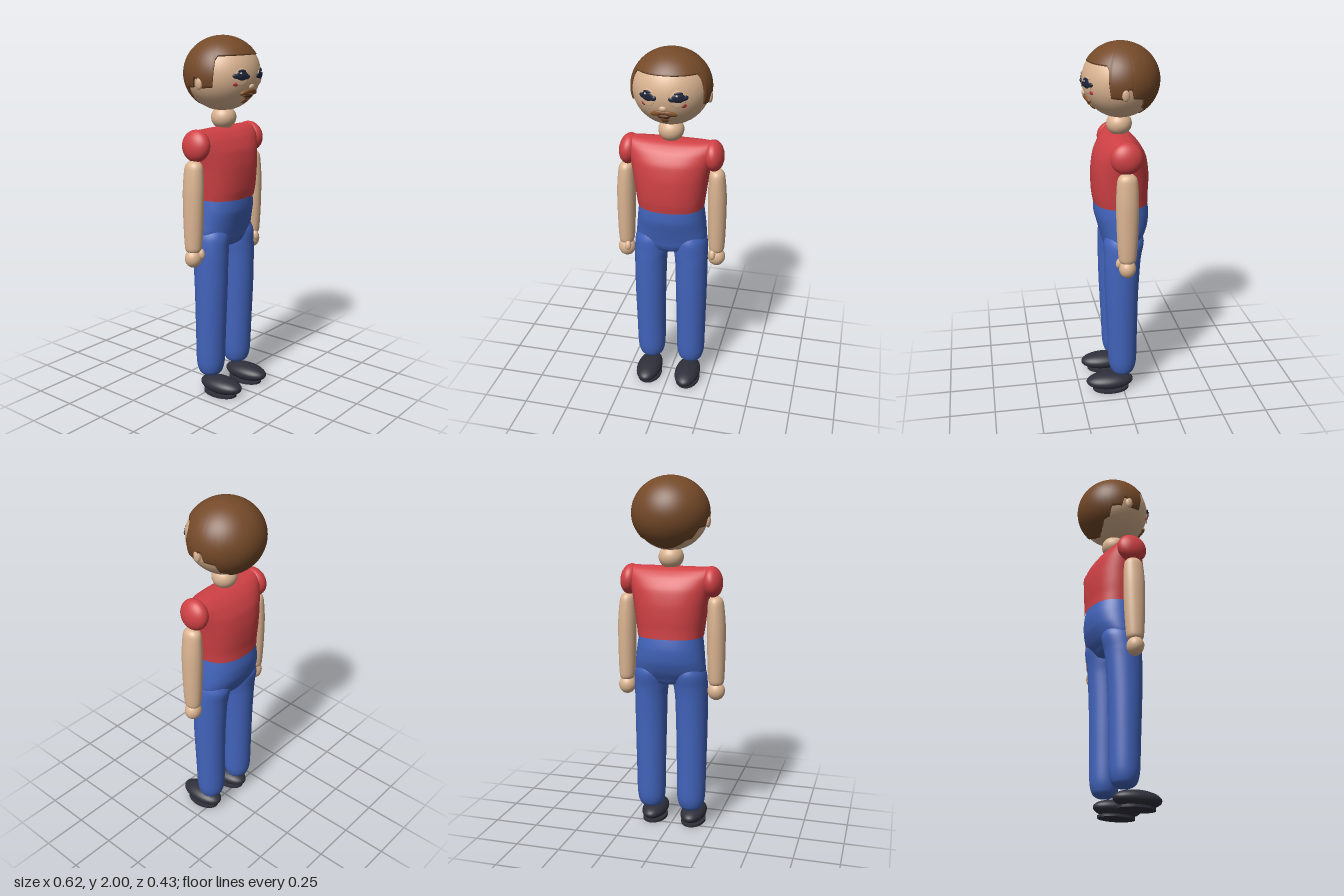
import * as THREE from 'three';
import { mergeVertices } from 'three/addons/utils/BufferGeometryUtils.js';

const mat = (name, color) => {
  const m = new THREE.MeshStandardMaterial({ color });
  m.name = name;
  return m;
};

// Closed tube-like surface: fn(u, v) gives a point, u = top to bottom, v = around
function surface(rows, cols, fn) {
  const pos = [], index = [];
  for (let i = 0; i <= rows; i++)
    for (let j = 0; j < cols; j++) pos.push(...fn(i / rows, j / cols, i));
  for (let i = 0; i < rows; i++)
    for (let j = 0; j < cols; j++) {
      const k = (j + 1) % cols;
      const a = i * cols + j, b = (i + 1) * cols + j, c = (i + 1) * cols + k, d = i * cols + k;
      index.push(a, b, c, a, c, d);
    }
  const g = new THREE.BufferGeometry();
  g.setAttribute('position', new THREE.Float32BufferAttribute(pos, 3));
  g.setIndex(index);
  const merged = mergeVertices(g, 1e-6);
  merged.computeVertexNormals();
  return merged;
}

// Loft through sections [y, halfWidth, halfDepth, zCentre, xCentre], from top to bottom
function loft(sections, power = 1) {
  const size = new THREE.CatmullRomCurve3(sections.map(s => new THREE.Vector3(s[0], s[1], s[2])), false, 'catmullrom', 0.4);
  const centre = new THREE.CatmullRomCurve3(sections.map(s => new THREE.Vector3(s[3] || 0, s[4] || 0, 0)), false, 'catmullrom', 0.4);
  const bend = t => Math.sign(t) * Math.pow(Math.abs(t), power);
  return surface(sections.length * 5, 56, (u, v) => {
    const s = size.getPoint(u), c = centre.getPoint(u), t = v * Math.PI * 2;
    return [c.y + Math.max(0, s.y) * bend(Math.sin(t)), s.x, c.x + Math.max(0, s.z) * bend(Math.cos(t))];
  });
}

export function createModel() {
  const skin = mat('skin', 0xdcb592);
  const hairMat = mat('brown hair', 0x754a29);
  const beardMat = mat('light brown beard', 0x88552c);
  const red = mat('red shirt', 0xd04145);
  const blue = mat('blue trousers', 0x4264bc);
  const dark = mat('dark shoe', 0x30303c);
  const eyeMat = mat('dark eye', 0x20263a);
  const white = mat('eye highlight', 0xd8d8d8);
  const blush = mat('cheek red', 0xc8383c);
  const mouthMat = mat('mouth brown', 0x54301a);

  const root = new THREE.Group();
  root.name = 'figure';
  const add = (name, geo, material, parent = root) => {
    const m = new THREE.Mesh(geo, material);
    m.name = name;
    parent.add(m);
    return m;
  };
  const ball = (name, material, p, r, parent = root, w = 36, h = 24) => {
    const m = add(name, new THREE.SphereGeometry(1, w, h), material, parent);
    m.position.set(...p);
    m.scale.set(...r);
    return m;
  };

  // Head and neck
  const HC = [0, 1.8, -0.006], HR = [0.204, 0.198, 0.203];
  ball('head', skin, HC, HR, root, 56, 40);
  ball('neck', skin, [0, 1.565, 0], [0.069, 0.064, 0.069]);

  // Hair cap whose lower edge follows a hairline of [degrees from front, height]
  const line = [[0, 1.903], [58, 1.9], [63, 1.875], [65, 1.74], [88, 1.732], [91, 1.785], [97, 1.785],
    [100, 1.735], [117, 1.73], [122, 1.675], [135, 1.665], [140, 1.645], [155, 1.625], [180, 1.615]];
  const hairline = deg => {
    let i = 1;
    while (i < line.length - 1 && line[i][0] < deg) i++;
    const [d0, y0] = line[i - 1], [d1, y1] = line[i];
    return y0 + (y1 - y0) * (deg - d0) / (d1 - d0);
  };
  const ROWS = 30;
  add('hair', surface(ROWS, 180, (u, v, i) => {
    const phi = v * Math.PI * 2, deg = Math.min(v, 1 - v) * 360;
    const end = Math.acos((hairline(deg) - 1.8) / 0.2);
    const t = end * Math.min(1, i / (ROWS - 1)), k = i === ROWS ? 0.93 : 1;
    return [k * 0.214 * Math.sin(t) * Math.sin(phi), 1.8 + k * 0.2 * Math.cos(t), -0.008 + k * 0.209 * Math.sin(t) * Math.cos(phi)];
  }), hairMat);

  // Small flattened ellipsoid resting on the face at (x, y)
  const face = new THREE.Group();
  face.name = 'face';
  root.add(face);
  const onFace = (name, material, x, y, rx, ry, depth, tilt = 0, lift = 0) => {
    const q = Math.sqrt(1 - (x / HR[0]) ** 2 - ((y - HC[1]) / HR[1]) ** 2);
    const p = new THREE.Vector3(x, y, HC[2] + HR[2] * q);
    const n = new THREE.Vector3(x / HR[0] ** 2, (y - HC[1]) / HR[1] ** 2, q / HR[2]).normalize();
    const m = ball(name, material, [0, 0, 0], [rx, ry, depth], face, 24, 14);
    m.position.copy(p).addScaledVector(n, lift);
    m.lookAt(m.position.clone().add(n));
    m.rotateZ(tilt);
  };

  for (const s of [1, -1]) {
    const side = s > 0 ? 'left' : 'right';
    // Eyes, lashes and cheeks
    onFace(side + 'EyeSocket', skin, s * 0.077, 1.792, 0.042, 0.046, 0.006);
    onFace(side + 'Eye', eyeMat, s * 0.078, 1.8, 0.036, 0.026, 0.009, 0, 0.002);
    onFace(side + 'OuterLash', eyeMat, s * 0.107, 1.797, 0.02, 0.013, 0.008, s * 0.2, 0.002);
    onFace(side + 'InnerLash', eyeMat, s * 0.047, 1.792, 0.018, 0.013, 0.008, -s * 0.3, 0.002);
    onFace(side + 'UpperLash', eyeMat, s * 0.078, 1.822, 0.026, 0.01, 0.008, 0, 0.002);
    onFace(side + 'EyeHighlight', white, s * 0.078 - 0.008, 1.812, 0.006, 0.005, 0.003, 0, 0.011);
    onFace(side + 'Cheek', blush, s * 0.104, 1.755, 0.014, 0.011, 0.004);
    // Moustache half
    onFace(side + 'Moustache', beardMat, s * 0.034, 1.712, 0.038, 0.015, 0.012, -s * 0.3, 0.002);
    // Ear
    ball(side + 'Ear', skin, [s * 0.204, 1.76, 0], [0.014, 0.034, 0.021]);

    // Sleeve
    const sleeve = ball(side + 'Sleeve', red, [s * 0.232, 1.436, 0], [0.055, 0.085, 0.086]);
    sleeve.rotation.z = s * 0.12;

    // Arm, hand and thumb
    add(side + 'Arm', loft([[1.362, 0, 0, 0, s * 0.25], [1.352, 0.028, 0.034, 0, s * 0.25], [1.32, 0.043, 0.054, 0, s * 0.252],
      [1.2, 0.051, 0.061, 0, s * 0.256], [1.05, 0.05, 0.058, 0, s * 0.258], [0.92, 0.046, 0.051, 0, s * 0.259],
      [0.87, 0.038, 0.042, 0, s * 0.26], [0.85, 0, 0, 0, s * 0.26]]), skin);
    ball(side + 'Hand', skin, [s * 0.26, 0.828, 0], [0.049, 0.053, 0.046]);
    const thumb = ball(side + 'Thumb', skin, [s * 0.243, 0.856, 0.043], [0.018, 0.029, 0.017]);
    thumb.rotation.x = -0.25;

    // Trouser leg
    add(side + 'Leg', loft([[1.03, 0, 0, -0.01, s * 0.1], [1.0, 0.06, 0.075, -0.012, s * 0.105], [0.93, 0.092, 0.11, -0.008, s * 0.11],
      [0.85, 0.096, 0.104, 0, s * 0.114], [0.78, 0.092, 0.1, 0.004, s * 0.118], [0.6, 0.089, 0.093, 0.007, s * 0.12],
      [0.35, 0.084, 0.085, 0.004, s * 0.12], [0.19, 0.081, 0.08, 0.002, s * 0.119], [0.13, 0.068, 0.066, 0.002, s * 0.119],
      [0.108, 0.045, 0.042, 0.002, s * 0.119], [0.1, 0, 0, 0.002, s * 0.119]]), blue);

    // Shoe and sole
    ball(side + 'Shoe', dark, [s * 0.117, 0.054, 0.076], [0.073, 0.047, 0.137]);
    const sole = add(side + 'Sole', new THREE.CylinderGeometry(1, 1, 0.014, 40), dark);
    sole.position.set(s * 0.117, 0.007, 0.07);
    sole.scale.set(0.07, 1, 0.105);
  }

  // Nose, mouth and beard
  onFace('nose', skin, 0, 1.738, 0.02, 0.016, 0.012);
  onFace('moustacheCentre', beardMat, 0, 1.718, 0.024, 0.014, 0.013, 0, 0.001);
  onFace('mouth', mouthMat, 0, 1.69, 0.034, 0.012, 0.01);
  onFace('lowerLip', beardMat, 0, 1.682, 0.026, 0.008, 0.012);
  onFace('goatee', beardMat, 0, 1.664, 0.019, 0.021, 0.009);

  // Shirt body
  add('shirt', loft([[1.517, 0.225, 0], [1.511, 0.25, 0.04], [1.495, 0.258, 0.07], [1.46, 0.246, 0.105], [1.4, 0.225, 0.138],
    [1.32, 0.208, 0.153], [1.24, 0.197, 0.155], [1.18, 0.189, 0.152], [1.133, 0.183, 0.148, -0.004]], 0.85), red);

  // Trouser hips
  add('hips', loft([[1.16, 0.17, 0.138, -0.005], [1.135, 0.178, 0.146, -0.005], [1.07, 0.187, 0.15, -0.009], [1.0, 0.195, 0.137, -0.014],
    [0.94, 0.198, 0.117, -0.01], [0.9, 0.17, 0.1, -0.002], [0.865, 0.09, 0.075, 0], [0.85, 0, 0, 0]], 0.9), blue);

  return root;
}
